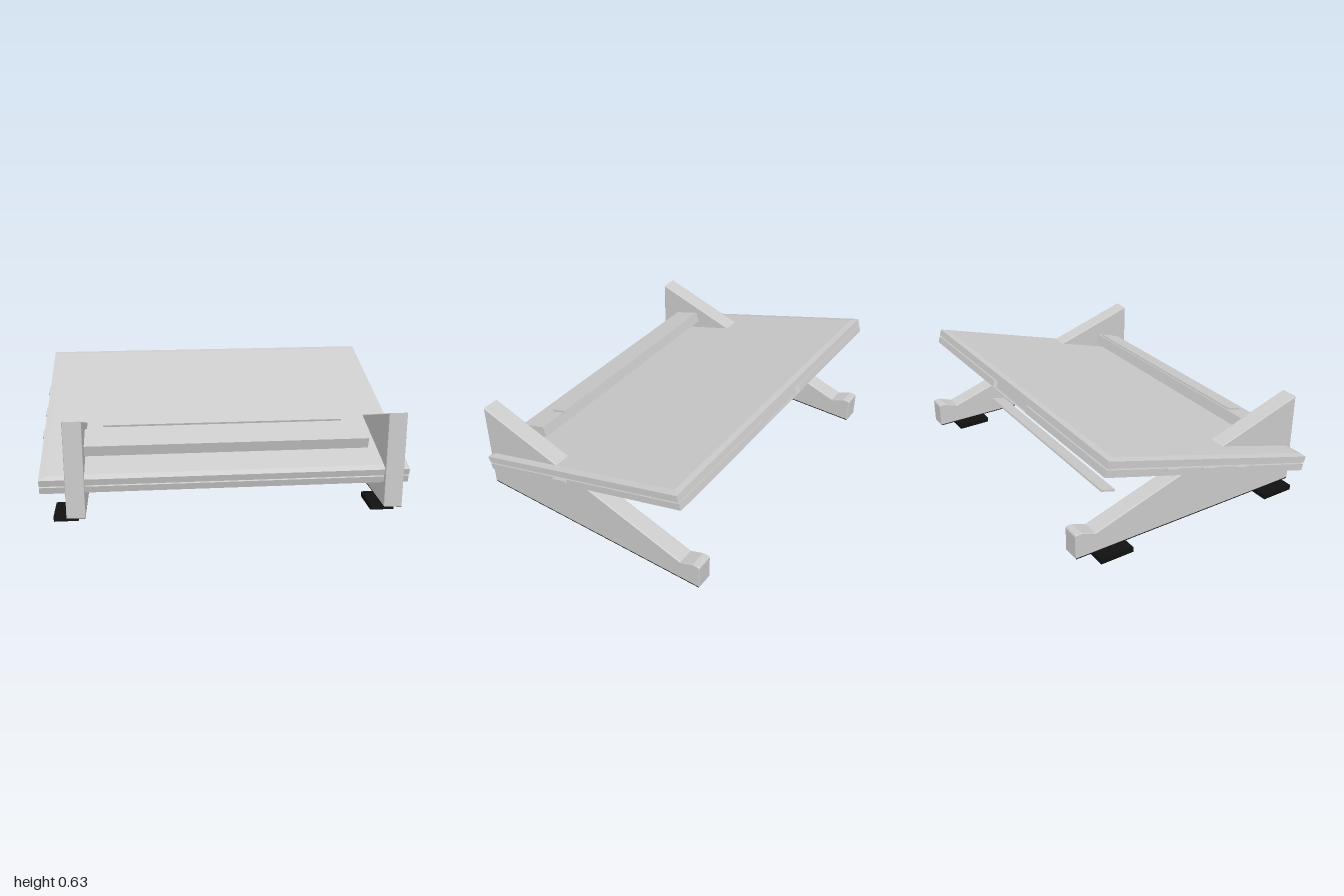
import * as THREE from 'three';

const grey = new THREE.MeshStandardMaterial({ color: 0xcccccc });
const black = new THREE.MeshStandardMaterial({ color: 0x111111 });
const TILT = 0.288;

function add(parent, name, geometry, x, y, z, material = grey) {
  const mesh = new THREE.Mesh(geometry, material);
  mesh.name = name;
  mesh.position.set(x, y, z);
  parent.add(mesh);
  return mesh;
}

const box = (w, h, d) => new THREE.BoxGeometry(w, h, d);

// Box whose top (sign 1) or bottom (sign -1) face is drawn in on all sides
function taperedBox(w, h, d, inset, sign = 1) {
  const g = box(w, h, d);
  const p = g.attributes.position;
  for (let i = 0; i < p.count; i++) {
    if (p.getY(i) * sign > 0) {
      p.setX(i, p.getX(i) - Math.sign(p.getX(i)) * inset);
      p.setZ(i, p.getZ(i) - Math.sign(p.getZ(i)) * inset);
    }
  }
  g.computeVertexNormals();
  return g;
}

// Wedge-shaped side support with a raised stop at the rear
function supportGeometry() {
  const b = 0.005;
  const s = new THREE.Shape();
  s.moveTo(0.72 - b, 0.032 + b);
  s.lineTo(0.72 - b, 0.56 - b);
  s.lineTo(-0.603, 0.145 - b);
  s.lineTo(-0.68, 0.175 - b);
  s.lineTo(-0.705, 0.175 - b);
  s.quadraticCurveTo(-0.72 + b, 0.175 - b, -0.72 + b, 0.16);
  s.lineTo(-0.72 + b, 0.032 + b);
  s.closePath();
  const g = new THREE.ExtrudeGeometry(s, {
    depth: 0.1 - 2 * b, bevelThickness: b, bevelSize: b, bevelSegments: 2, curveSegments: 5,
  });
  g.translate(0, 0, -0.05 + b);
  return g.rotateY(-Math.PI / 2); // shape x becomes z, thickness lies along x
}

// Lower slab outline with a finger notch in the rear edge
function notchedSlab(w, h, d) {
  const x = w / 2, z = d / 2, n = 0.195, c = 0.015;
  const s = new THREE.Shape([
    [-x, -z], [x, -z], [x, z], [n, z], [n - c, z - c], [-n + c, z - c], [-n, z], [-x, z],
  ].map(([a, b]) => new THREE.Vector2(a, b)));
  const g = new THREE.ExtrudeGeometry(s, { depth: h, bevelEnabled: false });
  g.translate(0, 0, -h / 2);
  return g.rotateX(-Math.PI / 2);
}

export function createModel() {
  const model = new THREE.Group();
  model.name = 'laptopOnStand';

  // Side supports with dark undersides
  for (const [side, x] of [['left', 0.9], ['right', -0.8]]) {
    add(model, side + 'Support', supportGeometry(), x, 0, 0);
    add(model, side + 'SupportUnderside', box(0.098, 0.005, 1.436), x, 0.0315, 0, black);
  }

  // Rubber pads under the stand
  for (const x of [0.853, -0.855]) {
    add(model, 'frontPad', box(0.13, 0.03, 0.195), x, 0.015, 0.583, black);
    add(model, 'rearPad', box(0.13, 0.03, 0.195), x, 0.015, -0.515, black);
  }

  // Crossbar and the two thin slats, all parallel to the laptop
  const crossbar = add(model, 'crossbar', box(1.56, 0.062, 0.165), 0, 0.383, 0.523);
  const frontSlat = add(model, 'frontSlat', box(1.3, 0.011, 0.09), 0, 0.473, 0.445);
  const rearSlat = add(model, 'rearSlat', box(1.3, 0.011, 0.09), 0, 0.22, -0.397);
  for (const m of [crossbar, frontSlat, rearSlat]) m.rotation.x = TILT;

  // Closed laptop lying on the slope
  const laptop = new THREE.Group();
  laptop.name = 'laptop';
  laptop.position.set(0, 0.3975, 0.0375);
  laptop.rotation.x = TILT;
  model.add(laptop);
  const W = 1.97, D = 1.376;
  add(laptop, 'base', notchedSlab(W, 0.039, D), 0, -0.0235, 0);
  add(laptop, 'baseUnderside', taperedBox(W, 0.006, D, 0.012, -1), 0, -0.046, 0);
  add(laptop, 'lid', box(W, 0.038, D), 0, 0.023, 0);
  add(laptop, 'lidTop', taperedBox(W, 0.007, D, 0.035), 0, 0.0455, 0);

  // Feet under the laptop
  for (const x of [-0.79, 0.79]) {
    for (const z of [-0.56, 0.56]) {
      add(laptop, 'laptopFoot', taperedBox(0.15, 0.012, 0.06, 0.005, -1), x, -0.055, z);
    }
  }

  // Plugs and buttons on the two sides
  for (const z of [-0.285, -0.045, 0.185]) {
    add(laptop, 'rightSidePlug', box(0.03, 0.014, 0.075), -0.985, -0.009, z);
  }
  add(laptop, 'leftSidePlug', box(0.03, 0.014, 0.095), 0.985, -0.012, 0.12);

  return model;
}
